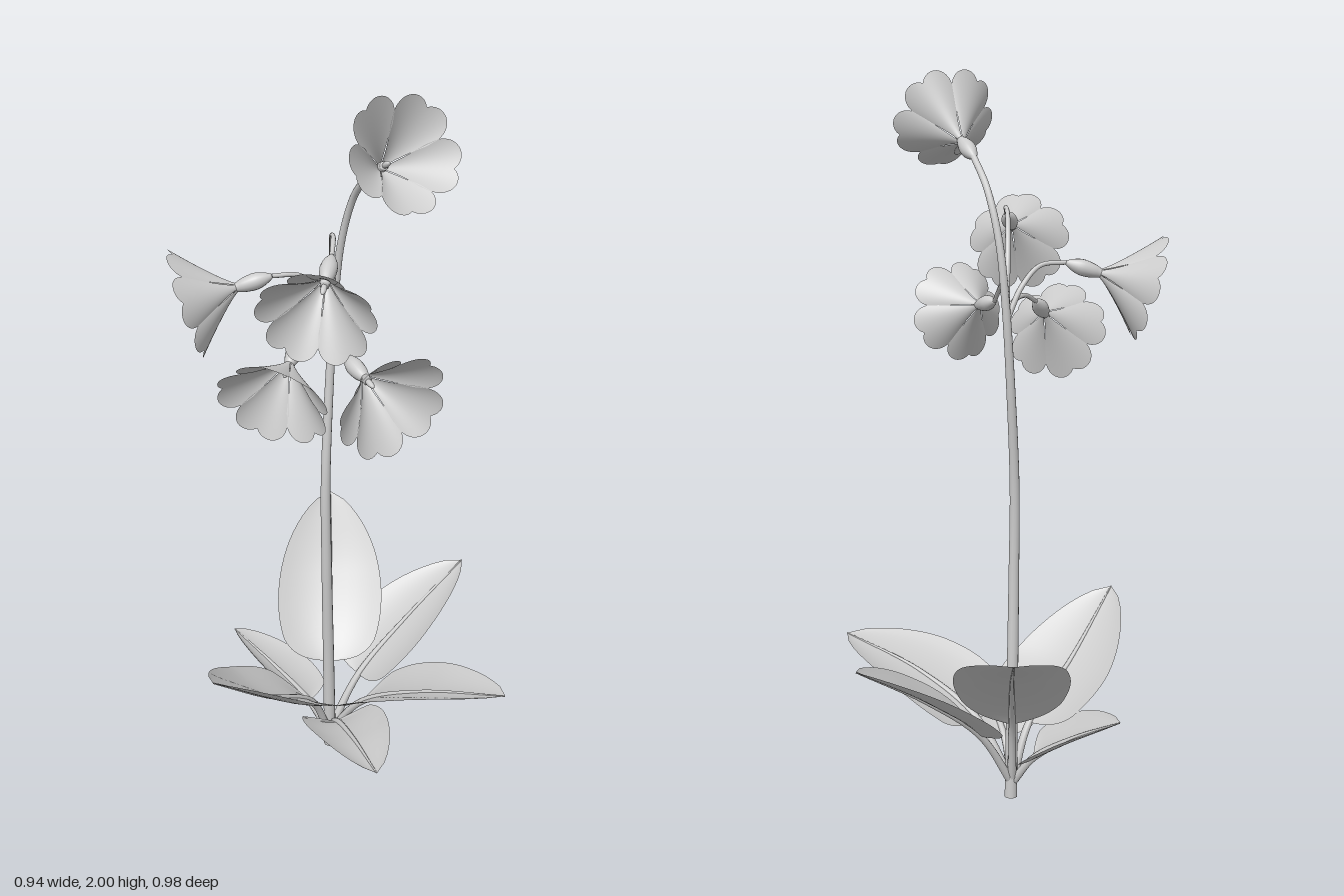
import * as THREE from 'three';

const V = (a) => new THREE.Vector3(...a);
const solid = new THREE.MeshStandardMaterial({ color: 0xcccccc });
const thin = new THREE.MeshStandardMaterial({ color: 0xcccccc, side: THREE.DoubleSide });

function add(parent, geometry, name, material = solid) {
  const mesh = new THREE.Mesh(geometry, material);
  mesh.name = name;
  parent.add(mesh);
  return mesh;
}

// Tube along a smooth path whose radius runs from r0 to r1
function taperedTube(points, r0, r1, n = 40, sides = 10) {
  const curve = new THREE.CatmullRomCurve3(points.map(V));
  const geo = new THREE.TubeGeometry(curve, n, 1, sides);
  const pos = geo.attributes.position, p = new THREE.Vector3();
  for (let i = 0; i <= n; i++) {
    const c = curve.getPointAt(i / n);
    const r = THREE.MathUtils.lerp(r0, r1, i / n);
    for (let j = 0; j <= sides; j++) {
      const k = i * (sides + 1) + j;
      p.fromBufferAttribute(pos, k).sub(c).multiplyScalar(r).add(c);
      pos.setXYZ(k, p.x, p.y, p.z);
    }
  }
  return geo;
}

// Smooth sheet from a rule f(u, v), u in 0..1, v in -1..1
function sheet(f, nu, nv) {
  const geo = new THREE.PlaneGeometry(1, 1, nv, nu);
  const pos = geo.attributes.position;
  for (let i = 0; i <= nu; i++) {
    for (let j = 0; j <= nv; j++) {
      const p = f(i / nu, (2 * j) / nv - 1);
      pos.setXYZ(i * (nv + 1) + j, p.x, p.y, p.z);
    }
  }
  geo.computeVertexNormals();
  return geo;
}

// Leaf: ovate cupped blade on a midrib; roll tips the blade about its midrib
function makeLeaf({ points, width, roll = 0 }) {
  const leaf = new THREE.Group();
  leaf.name = 'leaf';
  const curve = new THREE.CatmullRomCurve3(points.map(V));
  const up = new THREE.Vector3(0, 1, 0);
  const blade = sheet((u, v) => {
    const s = Math.pow(u, 1.8);                       // finer rows at the rounded base
    const t = 1 / 3 + (2 / 3) * s;
    const tangent = curve.getTangent(t);
    const side = new THREE.Vector3().crossVectors(up, tangent).normalize().applyAxisAngle(tangent, roll);
    const normal = new THREE.Vector3().crossVectors(tangent, side);
    const w = width * 1.08 * Math.pow(s, 0.43) * Math.pow(1 - s, 0.72);
    return curve.getPoint(t)
      .addScaledVector(side, v * w)
      .addScaledVector(normal, 0.07 * v * v * w / width)
      .addScaledVector(tangent, -0.04 * v * v * (1 - s) * Math.min(1, s * 6));
  }, 30, 12);
  add(leaf, blade, 'leafBlade', thin);
  add(leaf, taperedTube(points, 0.013, 0.002, 32, 8), 'leafMidrib');
  return leaf;
}

// Flower along +y: calyx from the origin, then five notched petals in a bell
function makeFlower(start, axis) {
  const flower = new THREE.Group();
  flower.name = 'flower';
  const profile = [[0.006, 0], [0.016, 0.02], [0.022, 0.045], [0.019, 0.075], [0.013, 0.095], [0.011, 0.11]];
  const spline = new THREE.SplineCurve(profile.map(([x, y]) => new THREE.Vector2(x, y)));
  add(flower, new THREE.LatheGeometry([new THREE.Vector2(0, 0), ...spline.getPoints(16), new THREE.Vector2(0, 0.112)], 16), 'calyx');

  const petal = sheet((u, v) => {
    const lobe = Math.sqrt(Math.max(0, 1 - ((Math.abs(v) - 0.4) / 0.6) ** 2));
    const s = u * (0.64 + 0.38 * lobe);
    const angle = v * THREE.MathUtils.degToRad(32 + 9 * s);
    const r = 0.011 + 0.134 * Math.pow(s, 1.08) - 0.016 * v * v * s;
    const y = 0.095 + 0.137 * Math.pow(s, 0.95);
    return new THREE.Vector3(r * Math.sin(angle), y, r * Math.cos(angle));
  }, 12, 24);
  for (let i = 0; i < 5; i++) {
    add(flower, petal, 'petal', thin).rotation.y = (i * 2 * Math.PI) / 5;
  }
  const pistil = add(flower, new THREE.SphereGeometry(0.008, 10, 8), 'pistil');
  pistil.scale.y = 2.5;
  pistil.position.y = 0.12;

  flower.position.copy(V(start));
  flower.quaternion.setFromUnitVectors(new THREE.Vector3(0, 1, 0), V(axis).normalize());
  return flower;
}

export function createModel() {
  const plant = new THREE.Group();
  plant.name = 'floweringPlant';

  // Main stem, bending over to the top flower
  const stem = [[-0.078, 0, -0.008], [-0.073, 0.3, 0], [-0.058, 0.65, 0.018], [-0.06, 0.9, 0.018],
    [-0.076, 1.2, -0.012], [-0.078, 1.4, -0.03], [-0.057, 1.57, -0.036], [-0.007, 1.7, -0.034], [0.07, 1.778, -0.015]];
  add(plant, taperedTube(stem, 0.018, 0.009, 80, 12), 'stem');
  const foot = add(plant, new THREE.CircleGeometry(0.018, 12), 'stemFoot');
  foot.rotation.x = Math.PI / 2;
  foot.position.set(-0.078, 0.001, -0.008);
  plant.add(makeFlower([0.065, 1.775, -0.016], [0.87, 0.43, 0.25]));

  // Side flowers on arching stalks from one node
  const node = [-0.078, 1.36, -0.028];
  const sideFlowers = [
    { via: [[-0.05, 1.52, 0.0], [0.02, 1.625, 0.06], [0.08, 1.64, 0.105]], at: [0.122, 1.615, 0.145], axis: [0.58, -0.4, 0.7] },
    { via: [[-0.085, 1.45, 0.02], [-0.09, 1.5, 0.08]], at: [-0.118, 1.505, 0.145], axis: [-0.57, -0.3, 0.77] },
    { via: [[-0.045, 1.4, 0.02], [-0.005, 1.41, 0.1]], at: [0.022, 1.385, 0.165], axis: [0.45, -0.48, 0.75] },
    { via: [[-0.03, 1.42, 0.01], [0.05, 1.44, 0.07], [0.13, 1.41, 0.125]], at: [0.18, 1.37, 0.15], axis: [0.95, -0.24, 0.18] },
  ];
  for (const { via, at, axis } of sideFlowers) {
    add(plant, taperedTube([node, ...via, at], 0.008, 0.006, 30, 8), 'flowerStalk');
    plant.add(makeFlower(at, axis));
  }

  // Basal leaves: root, blade start, middle, tip
  const root = [-0.078, 0.04, -0.004];
  const leaves = [
    { points: [root, [-0.13, 0.25, -0.05], [-0.285, 0.45, -0.185], [-0.47, 0.6, -0.34]], width: 0.31 },
    { points: [root, [-0.065, 0.21, -0.11], [-0.043, 0.35, -0.28], [-0.02, 0.485, -0.49]], width: 0.28 },
    { points: [root, [0.04, 0.2, -0.03], [0.23, 0.305, -0.09], [0.47, 0.375, -0.18]], width: 0.31, roll: -0.13 },
    { points: [root, [-0.06, 0.195, 0.075], [-0.02, 0.32, 0.27], [0.035, 0.487, 0.49]], width: 0.33 },
    { points: [root, [-0.14, 0.13, 0.02], [-0.25, 0.215, 0.06], [-0.395, 0.3, 0.105]], width: 0.2, roll: 0.2 },
    { points: [root, [0.0, 0.14, 0.035], [0.15, 0.195, 0.1], [0.345, 0.22, 0.18]], width: 0.23 },
  ];
  for (const leaf of leaves) plant.add(makeLeaf(leaf));

  return plant;
}
